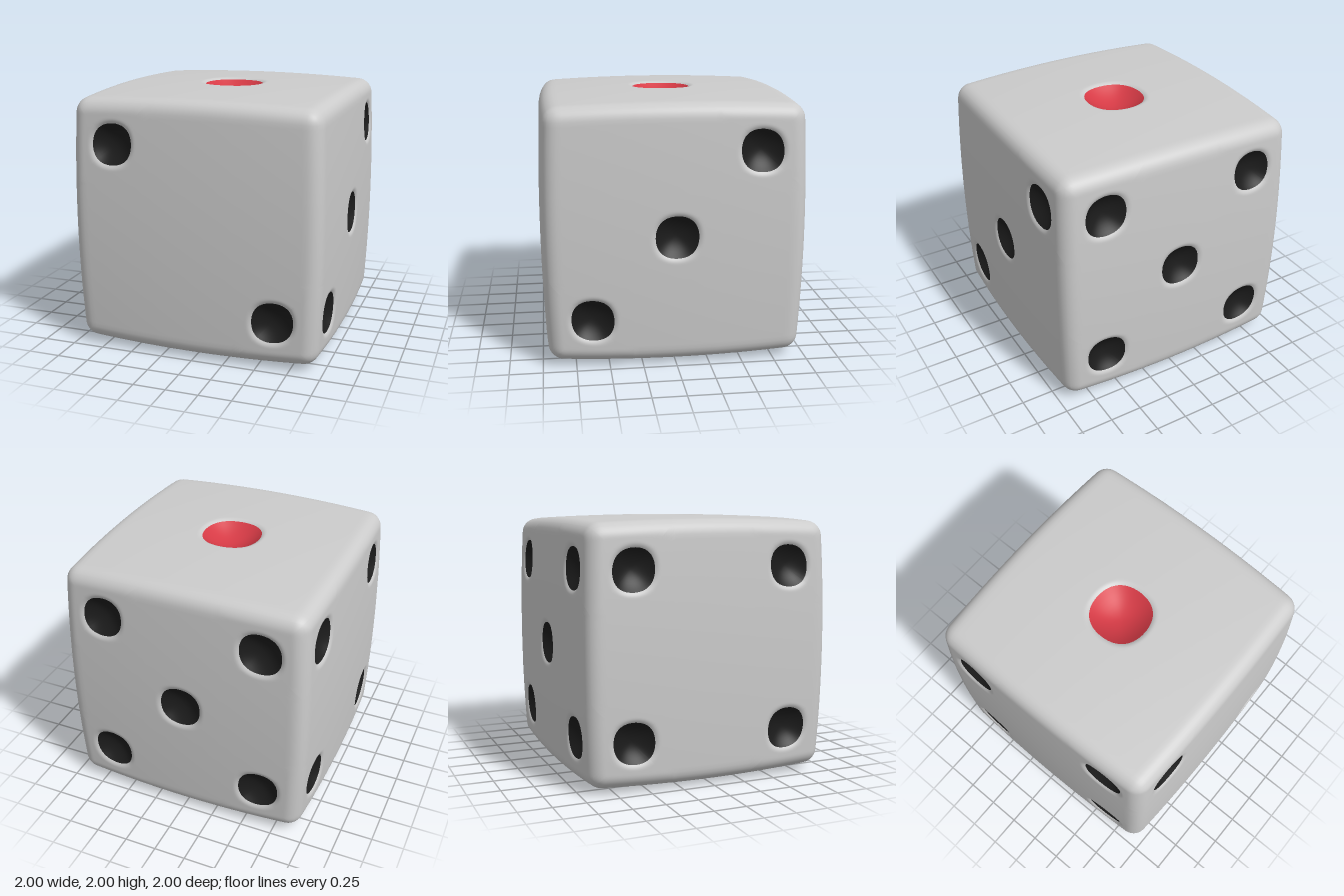
import * as THREE from 'three';
import { mergeGeometries, mergeVertices } from 'three/addons/utils/BufferGeometryUtils.js';

const ROUND = 0.11;   // edge rounding
const BULGE = 0.028;  // how far the faces swell towards their middle
const N = 16;         // steps along one side of a cell
const LIP = 0.04, LIP_DEPTH = 0.015;
const PIP = 0.65;     // pip offset from the face centre
const V = (x, y, z) => new THREE.Vector3(x, y, z);

// Each face: outward normal n, in-plane axes u and v (u x v = n), pips in (u, v) steps
const corners = [[-1, -1], [1, -1], [1, 1], [-1, 1]];
const faces = [
  { name: 'top', n: V(0, 1, 0), u: V(1, 0, 0), v: V(0, 0, -1), pips: [[0, 0]], big: true },
  { name: 'front', n: V(0, 0, 1), u: V(1, 0, 0), v: V(0, 1, 0), pips: [[-1, 1], [1, -1]] },
  { name: 'left', n: V(1, 0, 0), u: V(0, 0, -1), v: V(0, 1, 0), pips: [[1, 1], [0, 0], [-1, -1]] },
  { name: 'right', n: V(-1, 0, 0), u: V(0, 0, 1), v: V(0, 1, 0), pips: corners },
  { name: 'back', n: V(0, 0, -1), u: V(-1, 0, 0), v: V(0, 1, 0), pips: [...corners, [0, 0]] },
  { name: 'bottom', n: V(0, -1, 0), u: V(1, 0, 0), v: V(0, 0, 1),
    pips: [...corners, [0, -1], [0, 1]] },
];

// Point on the swollen rounded cube for face coordinates a, b, sunk by depth
function surface(f, a, b, depth = 0) {
  const p = f.n.clone().addScaledVector(f.u, a).addScaledVector(f.v, b);
  const inner = p.clone().clampScalar(-1 + ROUND, 1 - ROUND);
  p.sub(inner).setLength(ROUND).add(inner);
  const { x, y, z } = p;
  p.set(
    x * (1 - BULGE * (y * y + z * z)),
    y * (1 - BULGE * (x * x + z * z)),
    z * (1 - BULGE * (x * x + y * y)));
  return p.addScaledVector(f.n, -depth);
}

// Grid of quads through point(i, j)
function patch(ni, nj, point) {
  const pos = [], index = [];
  for (let i = 0; i <= ni; i++) {
    for (let j = 0; j <= nj; j++) {
      pos.push(...point(i, j).toArray());
      if (i < ni && j < nj) {
        const a = i * (nj + 1) + j, b = a + nj + 1;
        index.push(a, b, b + 1, a, b + 1, a + 1);
      }
    }
  }
  const g = new THREE.BufferGeometry();
  g.setAttribute('position', new THREE.Float32BufferAttribute(pos, 3));
  g.setIndex(index);
  return g;
}

function smooth(list) {
  const g = mergeVertices(mergeGeometries(list), 1e-4);
  g.computeVertexNormals();
  return g;
}

// Side coordinates of a cell in column or row k (-1, 0, 1), denser at the cube's edges
function steps(k) {
  const out = [];
  for (let i = 0; i <= N; i++) {
    const t = i / N;
    if (k === 0) out.push(-0.33 + 0.66 * t);
    else if (k > 0) out.push(0.33 + 0.67 * (1 - Math.pow(1 - t, 1.6)));
    else out.push(-0.33 - 0.67 * (1 - Math.pow(t, 1.6)));
  }
  return out;
}

// Slightly squared pip outline
const outline = (r, ang) => r * (1 + 0.02 * (1 - Math.cos(4 * ang)));

// Counter-clockwise border of a cell
function border(us, vs) {
  const pts = [];
  for (let i = 0; i < N; i++) pts.push([us[i], vs[0]]);
  for (let i = 0; i < N; i++) pts.push([us[N], vs[i]]);
  for (let i = N; i > 0; i--) pts.push([us[i], vs[N]]);
  for (let i = N; i >= 0; i--) pts.push([us[0], vs[i]]);
  return pts;
}

export function createModel() {
  const group = new THREE.Group();
  const bodyMat = new THREE.MeshStandardMaterial({ color: 0xcccccc });
  const blackMat = new THREE.MeshStandardMaterial({ color: 0x1c1c1c });
  const redMat = new THREE.MeshStandardMaterial({ color: 0xd53a45 });
  const shell = [];

  for (const f of faces) {
    const dishes = [];
    const r = f.big ? 0.231 : 0.165;
    for (const ku of [-1, 0, 1]) for (const kv of [-1, 0, 1]) {
      const us = steps(ku), vs = steps(kv);
      if (!f.pips.some(([a, b]) => a === ku && b === kv)) {
        shell.push(patch(N, N, (i, j) => surface(f, us[i], vs[j])));
        continue;
      }
      const cu = ku * PIP, cv = kv * PIP;
      const rim = border(us, vs);
      const angles = rim.map(([a, b]) => Math.atan2(b - cv, a - cu));

      // Face around the pip, rolling softly over its lip
      shell.push(patch(14, 4 * N, (i, j) => {
        const ang = angles[j], r0 = outline(r, ang);
        const far = Math.hypot(rim[j][0] - cu, rim[j][1] - cv);
        const d = (far - r0) * Math.pow(i / 14, 1.3);
        const s = Math.max(0, 1 - d / LIP);
        return surface(f, cu + (r0 + d) * Math.cos(ang), cv + (r0 + d) * Math.sin(ang),
          LIP_DEPTH * s * s);
      }));

      // Hollow of the pip
      dishes.push(patch(8, 4 * N, (i, j) => {
        const t = i / 8, ang = angles[j], d = outline(r, ang) * t;
        return surface(f, cu + d * Math.cos(ang), cv + d * Math.sin(ang),
          LIP_DEPTH + 0.42 * r * (1 - t * t));
      }));
    }
    const pips = new THREE.Mesh(smooth(dishes), f.big ? redMat : blackMat);
    pips.name = f.name + 'Pips';
    group.add(pips);
  }

  const body = new THREE.Mesh(smooth(shell), bodyMat);
  body.name = 'body';
  group.add(body);

  // Stand the cube on the ground
  for (const m of group.children) m.position.y = 1;
  return group;
}
